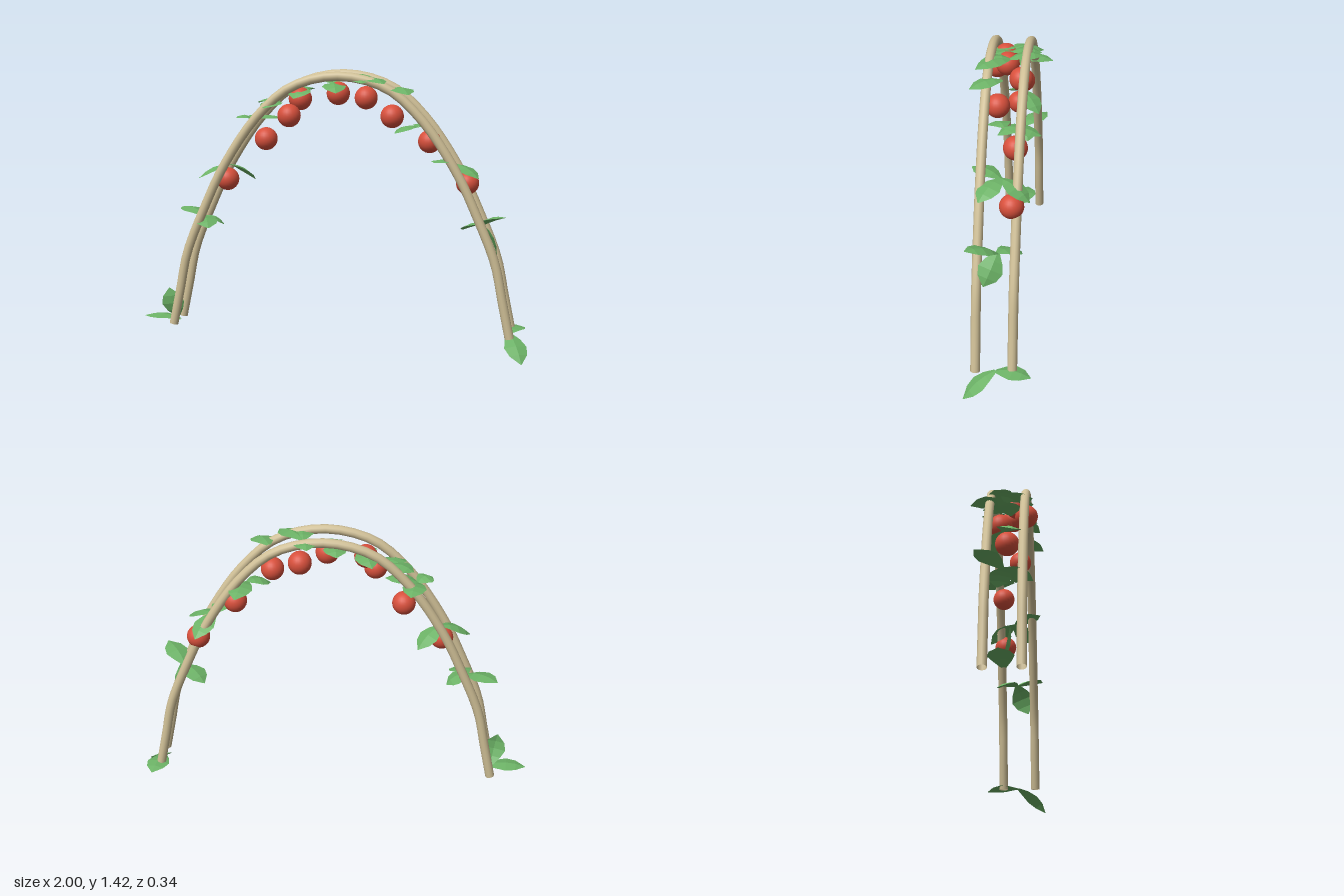
import * as THREE from 'three';

const mat = (name, color, side = THREE.FrontSide) => {
  const m = new THREE.MeshStandardMaterial({ color, side });
  m.name = name;
  return m;
};

// Pointed leaf from base to tip, arched along its length and folded at the midrib
function leafGeometry(base, tip, hint = [0, 1, 0]) {
  const a = new THREE.Vector3(...base);
  const dir = new THREE.Vector3(...tip).sub(a);
  const side = new THREE.Vector3(...hint).cross(dir).normalize();
  const normal = dir.clone().normalize().cross(side).normalize();
  const widths = [0.012, 0.042, 0.06, 0.046, 0.002];
  const pos = [], index = [];
  widths.forEach((w, i) => {
    const t = i / (widths.length - 1);
    for (const s of [-1, 0, 1]) {
      const p = a.clone().addScaledVector(dir, t)
        .addScaledVector(normal, 0.08 * t * (1 - t) - (s ? w * 0.2 : 0))
        .addScaledVector(side, s * w);
      pos.push(p.x, p.y, p.z);
    }
    if (i) for (let j = 0; j < 2; j++) {
      const k = (i - 1) * 3 + j;
      index.push(k, k + 3, k + 1, k + 1, k + 3, k + 4);
    }
  });
  const g = new THREE.BufferGeometry();
  g.setAttribute('position', new THREE.Float32BufferAttribute(pos, 3));
  g.setIndex(index);
  const flat = g.toNonIndexed();
  flat.computeVertexNormals();
  return flat;
}

export function createModel() {
  const model = new THREE.Group();
  const wood = mat('pale wood', 0xcfbf96, THREE.DoubleSide);
  const red = mat('fruit red', 0xd8503c);
  const green = mat('leaf green', 0x6cb266, THREE.DoubleSide);
  const add = (name, geometry, material) => {
    const mesh = new THREE.Mesh(geometry, material);
    mesh.name = name;
    model.add(mesh);
    return mesh;
  };

  // Two parallel arched poles, straight legs under a rounded top
  const cx = 0.046;
  const half = [[0.86, 0.125], [0.821, 0.313], [0.782, 0.5], [0.69, 0.73],
    [0.585, 0.95], [0.41, 1.205], [0.235, 1.355]];
  const outline = [...half.map(([h, y]) => [-h, y]), [0, 1.41],
    ...half.slice().reverse()];
  for (const [name, z] of [['frontPole', 0.093], ['backPole', -0.08]]) {
    const path = new THREE.CatmullRomCurve3(
      outline.map(([x, y]) => new THREE.Vector3(cx + x, y, z)), false, 'centripetal');
    add(name, new THREE.TubeGeometry(path, 48, 0.023, 12), wood);
  }

  // Round fruit hanging under the arch
  const fruitShape = new THREE.SphereGeometry(0.058, 24, 16);
  const fruits = [
    [-0.537, 0.876, 0.015], [-0.345, 1.08, -0.027], [-0.2, 1.213, 0.095],
    [-0.153, 1.293, 0.045], [0.034, 1.32, 0.02], [0.162, 1.293, -0.057],
    [0.307, 1.213, 0.042], [0.483, 1.08, -0.057], [0.675, 0.876, -0.057]];
  fruits.forEach((p, i) => add('fruit' + (i + 1), fruitShape, red).position.set(...p));

  // Leaf clusters: a shared stem point, then each tip with an optional facing
  const clusters = [
    [[-0.8, 0.13, 0.015], [[-1, 0.135, 0]]],
    [[-0.82, 0.14, 0.005], [[-0.85, 0.3, 0.045], [0, 0, 1]]],
    [[-0.67, 0.68, 0], [[-0.82, 0.7, -0.12]], [[-0.57, 0.63, -0.03]], [[-0.61, 0.64, 0.14]]],
    [[-0.53, 0.95, 0], [[-0.68, 0.88, 0.05]], [[-0.42, 0.86, -0.1]]],
    [[-0.41, 1.18, 0], [[-0.38, 1.18, -0.175]], [[-0.48, 1.19, 0.05]], [[-0.25, 1.19, 0.02]]],
    [[-0.27, 1.27, 0], [[-0.32, 1.25, 0.13]], [[-0.39, 1.26, -0.06]]],
    [[-0.13, 1.34, 0], [[-0.19, 1.31, -0.14]], [[-0.17, 1.3, 0.13]]],
    [[0, 1.37, 0], [[-0.02, 1.36, -0.14]], [[0.04, 1.33, 0.13]]],
    [[0.15, 1.39, 0], [[0.12, 1.4, -0.155]], [[0.17, 1.38, 0.14]], [[0.28, 1.38, 0.15]]],
    [[0.32, 1.35, 0.02], [[0.4, 1.33, 0.165]]],
    [[0.43, 1.16, 0], [[0.47, 1.14, -0.175]], [[0.32, 1.13, 0.06]]],
    [[0.6, 0.98, 0], [[0.53, 1, 0.14]], [[0.68, 0.9, -0.14]], [[0.74, 0.92, 0.09]]],
    [[0.76, 0.68, 0], [[0.87, 0.74, 0.14]], [[0.65, 0.63, -0.1]], [[0.835, 0.54, 0.06], [1, 0, 0]]],
    [[0.9, 0.13, 0], [[0.94, 0.125, -0.17]], [[0.97, 0.01, 0.145]]]];
  clusters.forEach(([stem, ...leaves], c) => leaves.forEach(([tip, facing], i) =>
    add(`leaf${c + 1}_${i + 1}`, leafGeometry(stem, tip, facing), green)));

  return model;
}
